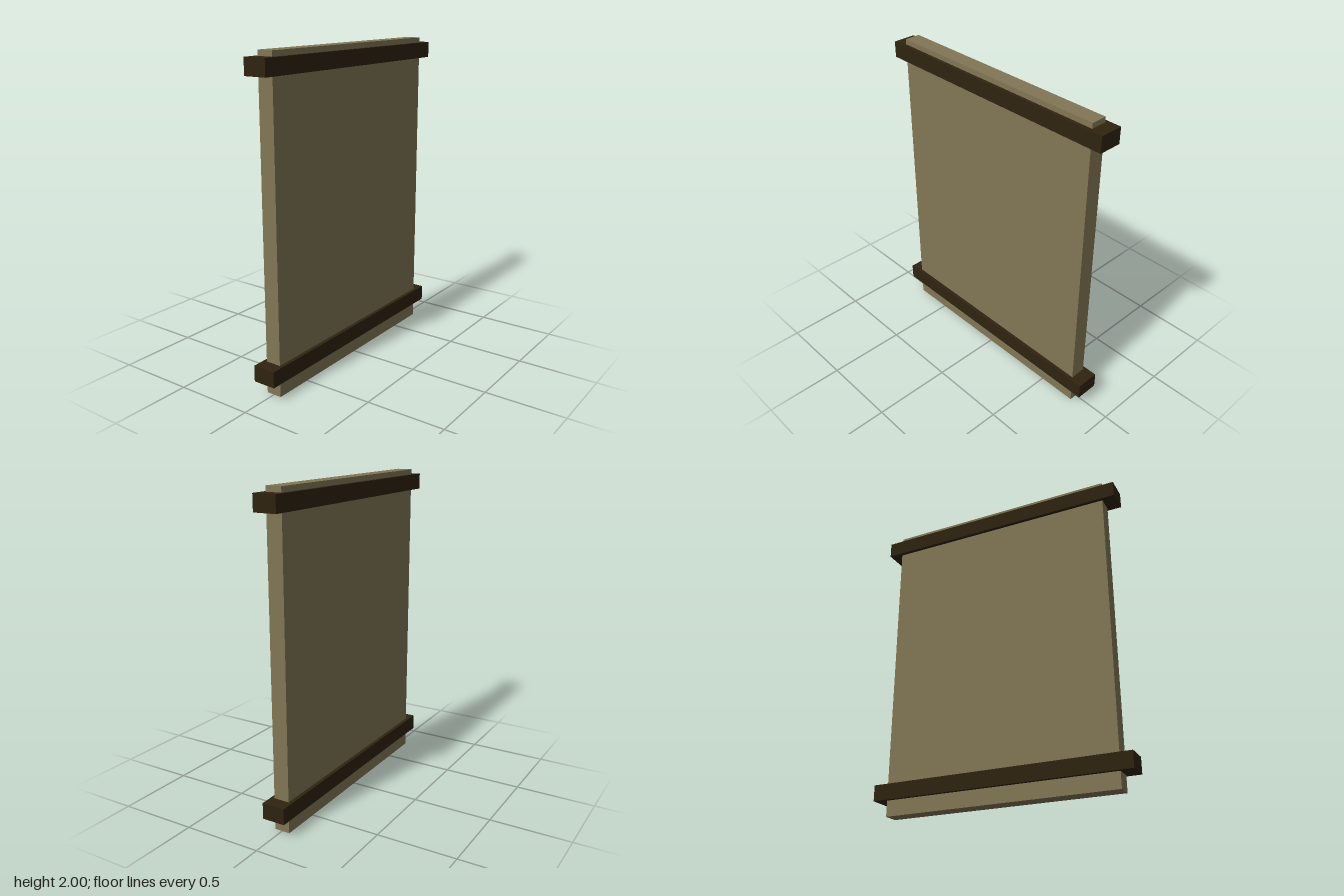
import * as THREE from 'three';

export function createModel() {
  const model = new THREE.Group();
  const panelMaterial = new THREE.MeshStandardMaterial({ color: 0x827755 });
  panelMaterial.name = 'khaki panel';
  const railMaterial = new THREE.MeshStandardMaterial({ color: 0x2f2310 });
  railMaterial.name = 'dark wood';

  const addBox = (name, material, width, height, depth, y) => {
    const mesh = new THREE.Mesh(new THREE.BoxGeometry(width, height, depth), material);
    mesh.name = name;
    mesh.position.y = y;
    model.add(mesh);
  };

  // Upright slab
  addBox('panel', panelMaterial, 1.5, 2, 0.1, 1);

  // Crossbars wrapped around the slab near its ends
  addBox('lowerRail', railMaterial, 1.667, 0.1, 0.147, 0.15);
  addBox('upperRail', railMaterial, 1.667, 0.1, 0.147, 1.917);

  return model;
}
